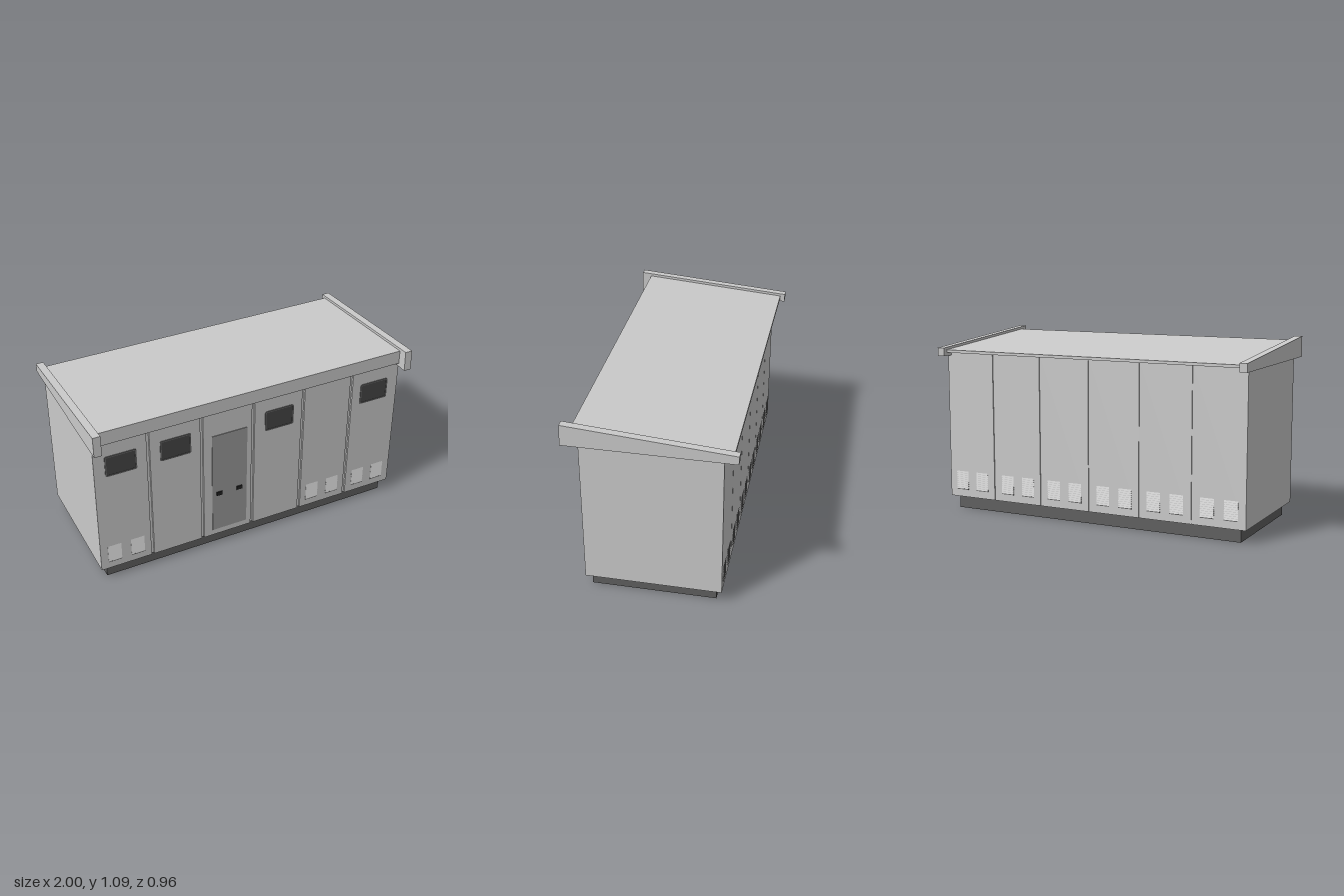
import * as THREE from 'three';

const paint = (color) => new THREE.MeshStandardMaterial({ color });
const grey = paint(0xcccccc);
const plinthGrey = paint(0x606060);
const doorGrey = paint(0x9c9c9c);
const frameGrey = paint(0x686868);
const glassGrey = paint(0x464646);
const black = paint(0x222222);

const FRONT = 0.385, BACK = -0.4;
const PANELS = [-0.82, -0.49, -0.165, 0.165, 0.49, 0.82];
const SEAMS = [-0.655, -0.328, 0, 0.328, 0.655];

function add(parent, name, geometry, material, x = 0, y = 0, z = 0) {
  const mesh = new THREE.Mesh(geometry, material);
  mesh.name = name;
  mesh.position.set(x, y, z);
  parent.add(mesh);
  return mesh;
}

const box = (w, h, d) => new THREE.BoxGeometry(w, h, d);

const extrude = (shape, depth) =>
  new THREE.ExtrudeGeometry(shape, { depth, bevelEnabled: false, curveSegments: 5 });

const polygon = (points) => new THREE.Shape(points.map(([x, y]) => new THREE.Vector2(x, y)));

// Side profile given as [z, y] pairs, extruded along x and centred on x = 0
function sideProfile(points, width) {
  const geometry = extrude(polygon(points.map(([z, y]) => [-z, y])), width);
  return geometry.translate(0, 0, -width / 2).rotateY(Math.PI / 2);
}

function roundedRect(w, h, r, Type = THREE.Shape) {
  const s = new Type();
  const x = w / 2, y = h / 2;
  s.moveTo(-x + r, -y).lineTo(x - r, -y).quadraticCurveTo(x, -y, x, -y + r);
  s.lineTo(x, y - r).quadraticCurveTo(x, y, x - r, y);
  s.lineTo(-x + r, y).quadraticCurveTo(-x, y, -x, y - r);
  s.lineTo(-x, -y + r).quadraticCurveTo(-x, -y, -x + r, -y);
  return s;
}

// Wall plan with a recessed groove at every panel seam, front and back
function wallGeometry(y0, y1) {
  const plan = [];
  const edge = (z, half, depth, dir) => {
    const seams = dir > 0 ? SEAMS : [...SEAMS].reverse();
    plan.push([-0.98 * dir, -z]);
    for (const s of seams) {
      plan.push([s - half * dir, -z], [s - half * dir, -z + depth],
        [s + half * dir, -z + depth], [s + half * dir, -z]);
    }
    plan.push([0.98 * dir, -z]);
  };
  edge(FRONT, 0.009, 0.012, 1);
  edge(BACK, 0.003, -0.006, -1);
  return extrude(polygon(plan), y1 - y0).rotateX(-Math.PI / 2).translate(0, y0, 0);
}

// Louvred vent: a stack of small wedges that lean out towards the bottom
const slat = sideProfile([[-0.002, 0], [0.003, 0], [0, 0.01], [-0.002, 0.01]], 0.084);
function vent(parent, x, z, turn) {
  const group = new THREE.Group();
  group.name = 'vent';
  for (let i = 0; i < 9; i++) add(group, 'ventSlat', slat, grey, 0, i * 0.0127, 0);
  add(group, 'ventSill', box(0.084, 0.005, 0.005), frameGrey, 0, -0.002, 0.0005);
  group.position.set(x, 0.13, z);
  group.rotation.y = turn;
  parent.add(group);
}

export function createModel() {
  const model = new THREE.Group();
  model.name = 'equipmentShelter';

  add(model, 'plinth', box(1.88, 0.082, 0.72), plinthGrey, 0, 0.041, -0.005);
  add(model, 'walls', wallGeometry(0.08, 0.985), grey);

  // Sloping roof with a deeper board at each end
  add(model, 'roof', sideProfile(
    [[0.42, 0.985], [0.42, 1.07], [-0.45, 1.002], [-0.45, 0.985]], 1.92), grey);
  const board = sideProfile(
    [[0.48, 0.965], [0.476, 1.09], [-0.48, 1.015], [-0.478, 0.965]], 0.045);
  for (const side of [-1, 1]) add(model, 'roofEndBoard', board, grey, side * 0.9775);

  // Door and its two handles
  add(model, 'door', box(0.225, 0.69, 0.008), doorGrey, -0.1525, 0.465, FRONT);
  for (const x of [-0.22, -0.09]) {
    add(model, 'doorHandle', box(0.037, 0.025, 0.012), black, x, 0.39, FRONT + 0.004);
  }

  // Windows with rounded frames
  const frameShape = roundedRect(0.188, 0.135, 0.012);
  frameShape.holes.push(roundedRect(0.172, 0.119, 0.007, THREE.Path));
  const frame = extrude(frameShape, 0.005);
  const glass = extrude(roundedRect(0.174, 0.121, 0.007), 0.003);
  for (const x of [-0.82, -0.49, 0.17, 0.815]) {
    add(model, 'windowFrame', frame, frameGrey, x, 0.81, FRONT - 0.001);
    add(model, 'windowGlass', glass, glassGrey, x, 0.81, FRONT - 0.001);
  }

  // A pair of vents on some front panels and on every back panel
  PANELS.forEach((x, i) => {
    for (const side of [-1, 1]) {
      if ([0, 4, 5].includes(i)) vent(model, x + side * 0.072, FRONT, 0);
      vent(model, x + side * 0.072, BACK, Math.PI);
    }
  });

  return model;
}
